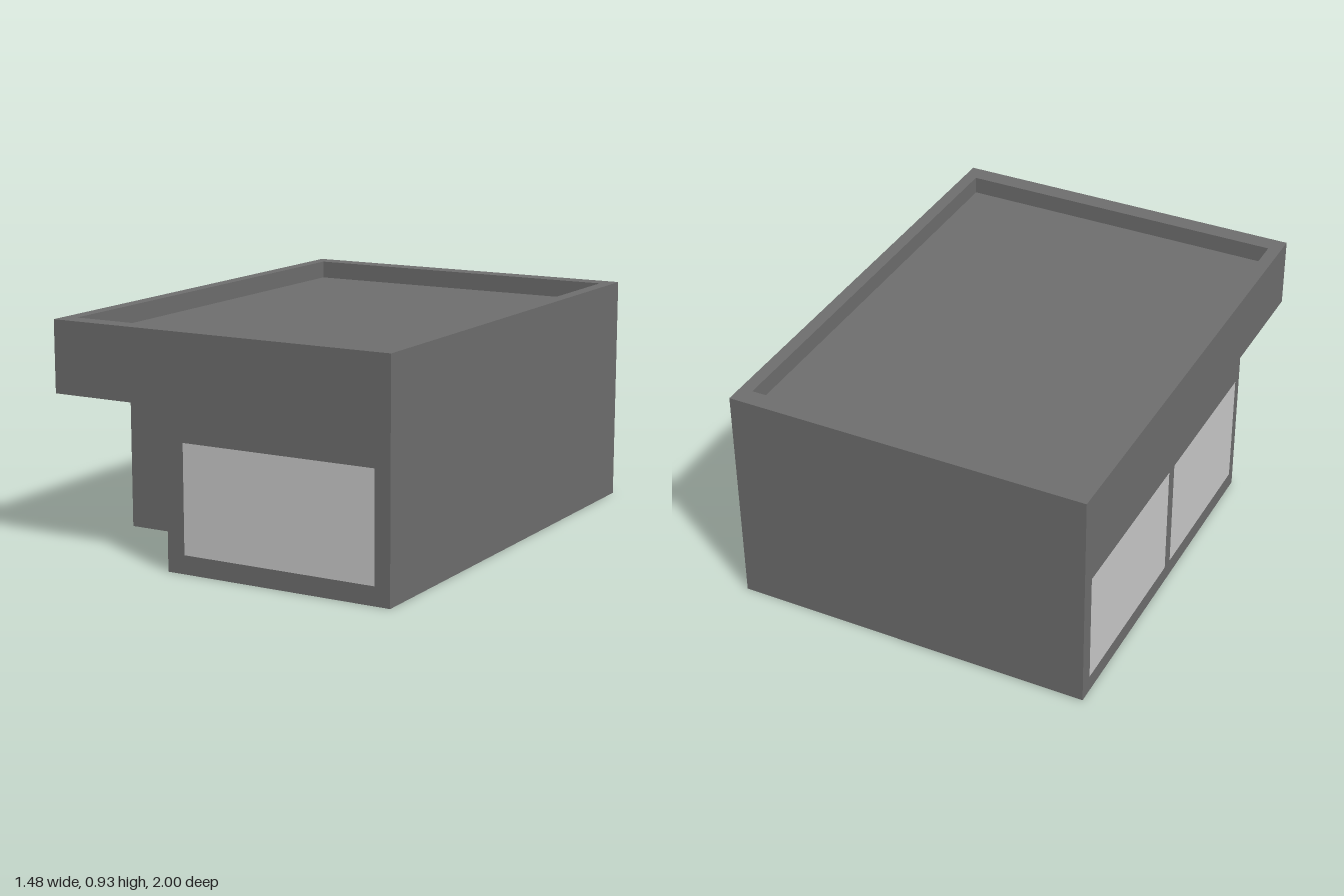
import * as THREE from 'three';

const W = 0.74, D = 1, H = 0.93;             // half width, half depth, height
const NX = -0.225, NZ = 0.515, NY = 0.64;    // corner porch: inner x, inner z, ceiling
const RX = 0.687, RZ = 0.923, ROOF = 0.857;  // roof recess
const FLOOR = 0.02;

const rect = (x0, y0, x1, y1) => [[x0, y0], [x1, y0], [x1, y1], [x0, y1]];
const toPoints = (pts) => pts.map(([x, y]) => new THREE.Vector2(x, y));

export function createModel() {
  const model = new THREE.Group();
  const wallMat = new THREE.MeshStandardMaterial({ color: 0x6f6f6f, side: THREE.DoubleSide });
  const glassMat = new THREE.MeshStandardMaterial({ color: 0xcccccc, side: THREE.DoubleSide });

  // Flat panel with cut-outs, turned and placed; panes fill the cut-outs flush
  function panel(name, outline, { pos = [0, 0, 0], rot = [0, 0, 0], holes = [], glazed = false }) {
    const group = new THREE.Group();
    group.name = name;
    const shape = new THREE.Shape(toPoints(outline));
    shape.holes = holes.map((h) => new THREE.Path(toPoints(h)));
    const surface = new THREE.Mesh(new THREE.ShapeGeometry(shape), wallMat);
    surface.name = name + 'Surface';
    group.add(surface);
    if (glazed) holes.forEach((h, i) => {
      const pane = new THREE.Mesh(new THREE.ShapeGeometry(new THREE.Shape(toPoints(h))), glassMat);
      pane.name = name + 'Window' + (i + 1);
      group.add(pane);
    });
    group.position.set(...pos);
    group.rotation.set(...rot);
    model.add(group);
  }

  const Q = Math.PI / 2;
  const up = [-Q, 0, 0], down = [Q, 0, 0];
  const faceLeft = [0, Q, 0], faceRight = [0, -Q, 0], faceBack = [0, 2 * Q, 0];

  // Outer walls
  panel('frontWall', [[NX, 0], [W, 0], [W, H], [-W, H], [-W, NY], [NX, NY]],
    { pos: [0, 0, D], holes: [rect(-0.15, 0.075, 0.675, 0.51)], glazed: true });
  panel('rightWall', [[-D, 0], [NZ, 0], [NZ, NY], [D, NY], [D, H], [-D, H]], {
    pos: [-W, 0, 0], rot: faceRight, glazed: true,
    holes: [rect(-0.94, 0.07, -0.22, 0.545), rect(-0.17, 0.07, 0.475, 0.545)],
  });
  panel('leftWall', rect(-D, 0, D, H), { pos: [W, 0, 0], rot: faceLeft });
  panel('backWall', rect(-W, 0, W, H), { pos: [0, 0, -D], rot: faceBack });

  // Recessed corner porch under the overhang
  panel('porchBackWall', rect(-W, 0, NX, NY), { pos: [0, 0, NZ] });
  panel('porchSideWall', rect(NZ, 0, D, NY), { pos: [NX, 0, 0], rot: faceRight });
  panel('porchCeiling', rect(-W, NZ, NX, D), { pos: [0, NY, 0], rot: down });

  // Floor set slightly above the wall bottoms
  panel('floor', [[-W, -D], [W, -D], [W, D], [NX, D], [NX, NZ], [-W, NZ]],
    { pos: [0, FLOOR, 0], rot: down });

  // Parapet and sunken roof
  panel('parapetTop', rect(-W, -D, W, D), { pos: [0, H, 0], rot: up, holes: [rect(-RX, -RZ, RX, RZ)] });
  panel('roof', rect(-RX, -RZ, RX, RZ), { pos: [0, ROOF, 0], rot: up });
  panel('parapetInnerFront', rect(-RX, ROOF, RX, H), { pos: [0, 0, RZ], rot: faceBack });
  panel('parapetInnerBack', rect(-RX, ROOF, RX, H), { pos: [0, 0, -RZ] });
  panel('parapetInnerLeft', rect(-RZ, ROOF, RZ, H), { pos: [RX, 0, 0], rot: faceRight });
  panel('parapetInnerRight', rect(-RZ, ROOF, RZ, H), { pos: [-RX, 0, 0], rot: faceLeft });

  return model;
}
